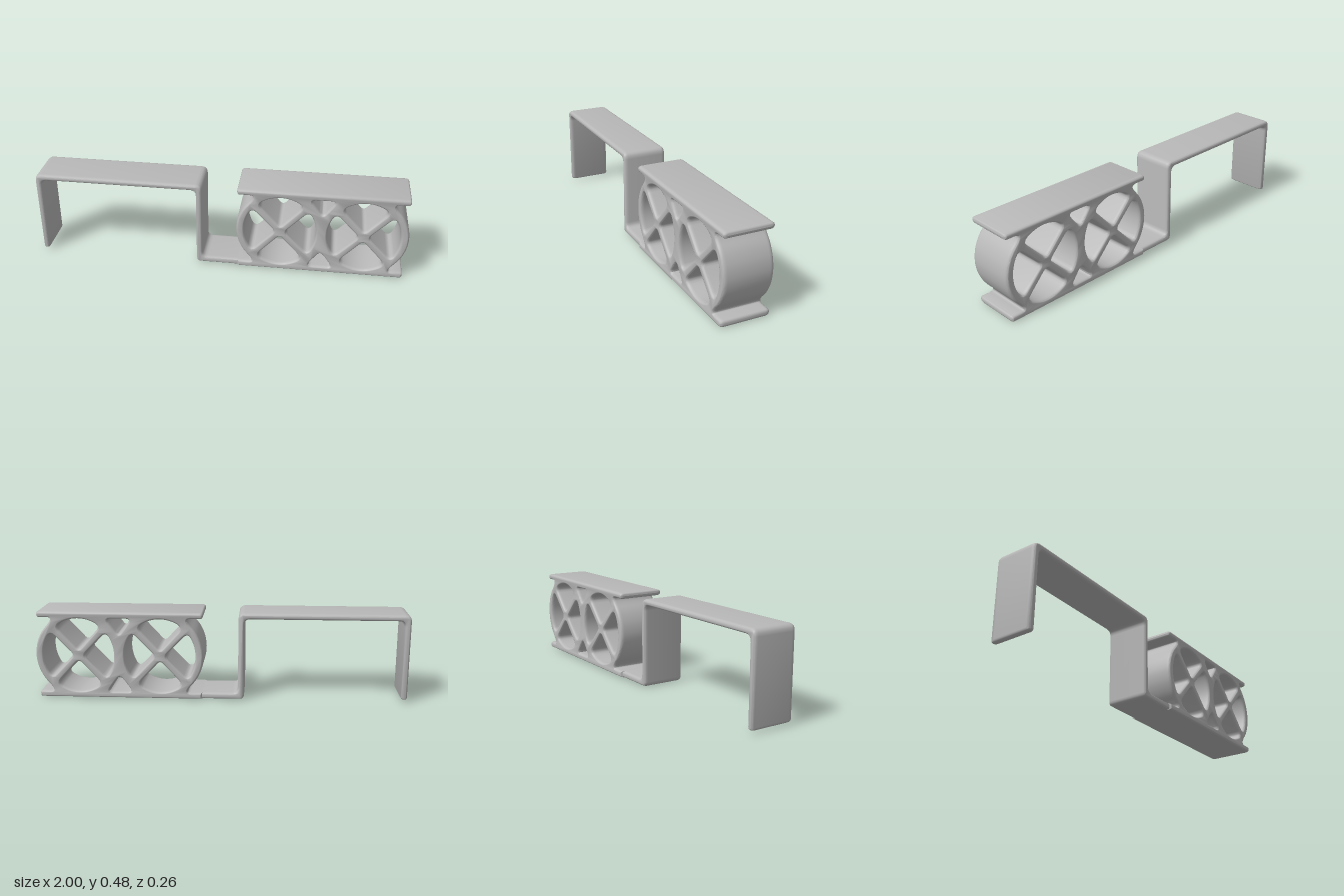
import * as THREE from 'three';
import { toCreasedNormals } from 'three/addons/utils/BufferGeometryUtils.js';

const MID_Y = 0.238;      // height of the ring centres
const TOP = 0.476;        // top of the upper plates
const SHEET = 0.033;      // sheet thickness
const RINGS = [0.325, 0.765];

// Traces a closed loop of [x, y, cornerRadius] into a path, rounding each corner.
function trace(path, pts) {
  const n = pts.length;
  pts.forEach((p, i) => {
    const toward = (q) => {
      const dx = q[0] - p[0], dy = q[1] - p[1], len = Math.hypot(dx, dy);
      const k = Math.min(p[2], len * 0.49) / len;
      return [p[0] + dx * k, p[1] + dy * k];
    };
    const a = toward(pts[(i + n - 1) % n]);
    const b = toward(pts[(i + 1) % n]);
    if (i === 0) path.moveTo(...a); else path.lineTo(...a);
    path.quadraticCurveTo(p[0], p[1], ...b);
  });
  path.closePath();
  return path;
}

// Points along an arc, angles in degrees
function arc(cx, cy, rx, ry, from, to, steps, r) {
  return Array.from({ length: steps + 1 }, (_, i) => {
    const t = THREE.MathUtils.degToRad(from + ((to - from) * i) / steps);
    return [cx + rx * Math.cos(t), cy + ry * Math.sin(t), r];
  });
}

// Extrudes a shape along z to a total half depth, with softly rounded rims.
function softExtrude(name, shape, halfDepth, material) {
  const rim = 0.022;
  const geo = new THREE.ExtrudeGeometry(shape, {
    depth: 2 * (halfDepth - rim), curveSegments: 4,
    bevelEnabled: true, bevelThickness: rim, bevelSize: 0.011,
    bevelOffset: -0.011, bevelSegments: 4,
  });
  geo.translate(0, 0, -(halfDepth - rim));
  const mesh = new THREE.Mesh(toCreasedNormals(geo, 0.8), material);
  mesh.name = name;
  return mesh;
}

// Bent strip: free leg, raised span, drop and foot running into the block
function bracketShape() {
  return trace(new THREE.Shape(), [
    [-1, 0.012, 0.016], [-0.966, 0.012, 0.016],
    [-0.966, TOP - SHEET, 0.03], [-0.127, TOP - SHEET, 0.03],
    [-0.127, 0, 0.025], [0.17, 0, 0], [0.17, SHEET + 0.003, 0],
    [-0.094, SHEET + 0.003, 0.03], [-0.094, TOP, 0.035], [-1, TOP, 0.035],
  ]);
}

// Two joined rings between an upper and a lower plate
function blockShape() {
  const low = SHEET + 0.003, high = TOP - SHEET, R = 0.236;
  const shape = trace(new THREE.Shape(), [
    [0.1, 0, 0], [0.987, 0, 0.016], [0.987, low, 0.016], [0.91, low, 0.02],
    ...arc(RINGS[1], MID_Y, R, R, -50, 50, 6, 0.03),
    [0.91, high, 0.02], [0.987, high, 0.016], [0.987, TOP, 0.016],
    [0.094, TOP, 0.016], [0.094, high, 0.016], [0.18, high, 0.02],
    ...arc(RINGS[0], MID_Y, R, R, 130, 230, 6, 0.03),
    [0.18, low, 0.02], [0.1, low, 0],
  ]);

  // Four rounded openings per ring leave a diagonal cross of spokes
  for (const cx of RINGS) {
    for (let q = 0; q < 4; q++) {
      const a = q * 90, t = THREE.MathUtils.degToRad(a);
      const tip = [cx + 0.027 * Math.cos(t), MID_Y + 0.027 * Math.sin(t), 0.022];
      const rim = arc(cx, MID_Y, 0.193, 0.204, a - 39, a + 39, 4, 0.034);
      shape.holes.push(trace(new THREE.Path(), [tip, ...rim]));
    }
  }

  // Small three-cornered openings where the rings meet, above and below
  const mid = (RINGS[0] + RINGS[1]) / 2;
  for (const s of [1, -1]) {
    shape.holes.push(trace(new THREE.Path(), [
      [mid - 0.066, MID_Y + s * 0.202, 0.025],
      [mid + 0.066, MID_Y + s * 0.202, 0.025],
      [mid + 0.026, MID_Y + s * 0.145, 0.025],
      [mid, MID_Y + s * 0.113, 0.02],
      [mid - 0.026, MID_Y + s * 0.145, 0.025],
    ]));
  }
  return shape;
}

export function createModel() {
  const grey = new THREE.MeshStandardMaterial({ color: 0xb8b8b8 });
  grey.name = 'light grey';
  const model = new THREE.Group();
  model.name = 'hookBracket';
  model.add(
    softExtrude('bentStrip', bracketShape(), 0.12, grey),
    softExtrude('ringBlock', blockShape(), 0.131, grey),
  );
  return model;
}
